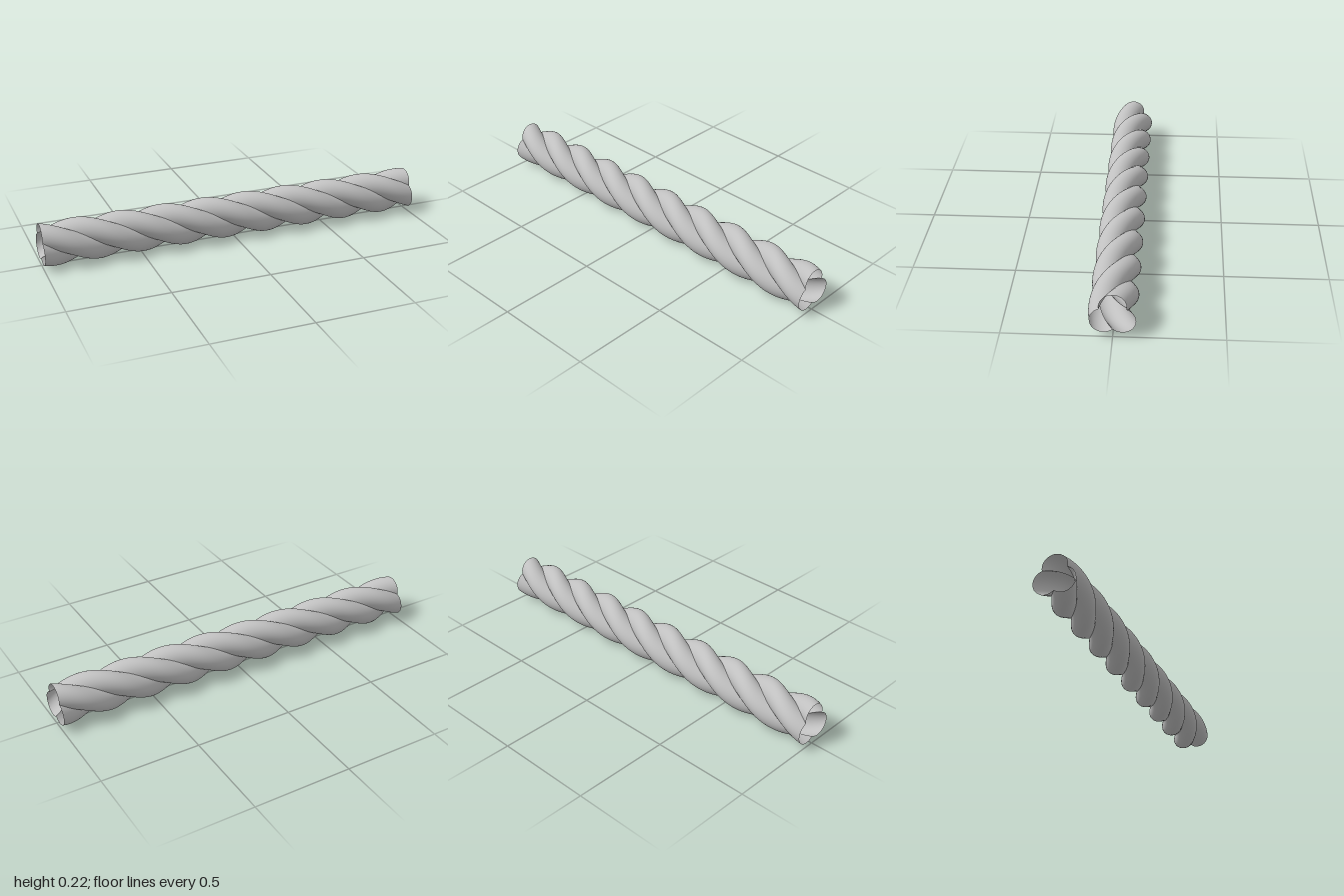
import * as THREE from 'three';

const LENGTH = 2;
const TURNS = 3;          // full twists along the length
const STRANDS = 3;
const AXIS_Y = 0.11;      // height of the rope's axis
const OFFSET = 0.048;     // strand arc centre, measured from the axis
const RADIUS = 0.062;     // strand arc radius
// Half angle of the arc, ending where neighbouring strands meet
const HALF_ARC = Math.PI / 3 + Math.asin((OFFSET / RADIUS) * Math.sin(Math.PI / 3));

// One open shell: an arc swept along the axis while it twists
function strandGeometry(phase) {
  const geometry = new THREE.PlaneGeometry(LENGTH, 2, 144, 20);
  const pos = geometry.attributes.position;
  for (let i = 0; i < pos.count; i++) {
    const x = pos.getX(i);
    const a = -pos.getY(i) * HALF_ARC;
    const twist = phase + (x / LENGTH - 0.5) * TURNS * Math.PI * 2;
    const out = OFFSET + RADIUS * Math.cos(a);
    const side = RADIUS * Math.sin(a);
    pos.setXYZ(
      i,
      x,
      AXIS_Y + out * Math.cos(twist) - side * Math.sin(twist),
      out * Math.sin(twist) + side * Math.cos(twist)
    );
  }
  geometry.computeVertexNormals();
  return geometry;
}

export function createModel() {
  const rope = new THREE.Group();
  rope.name = 'twistedRope';
  const grey = new THREE.MeshStandardMaterial({ color: 0xc0c0c0, side: THREE.DoubleSide });
  grey.name = 'grey';

  // Three strands, evenly spaced around the axis
  for (let i = 0; i < STRANDS; i++) {
    const strand = new THREE.Mesh(strandGeometry((i * Math.PI * 2) / STRANDS), grey);
    strand.name = 'strand' + (i + 1);
    rope.add(strand);
  }
  return rope;
}
